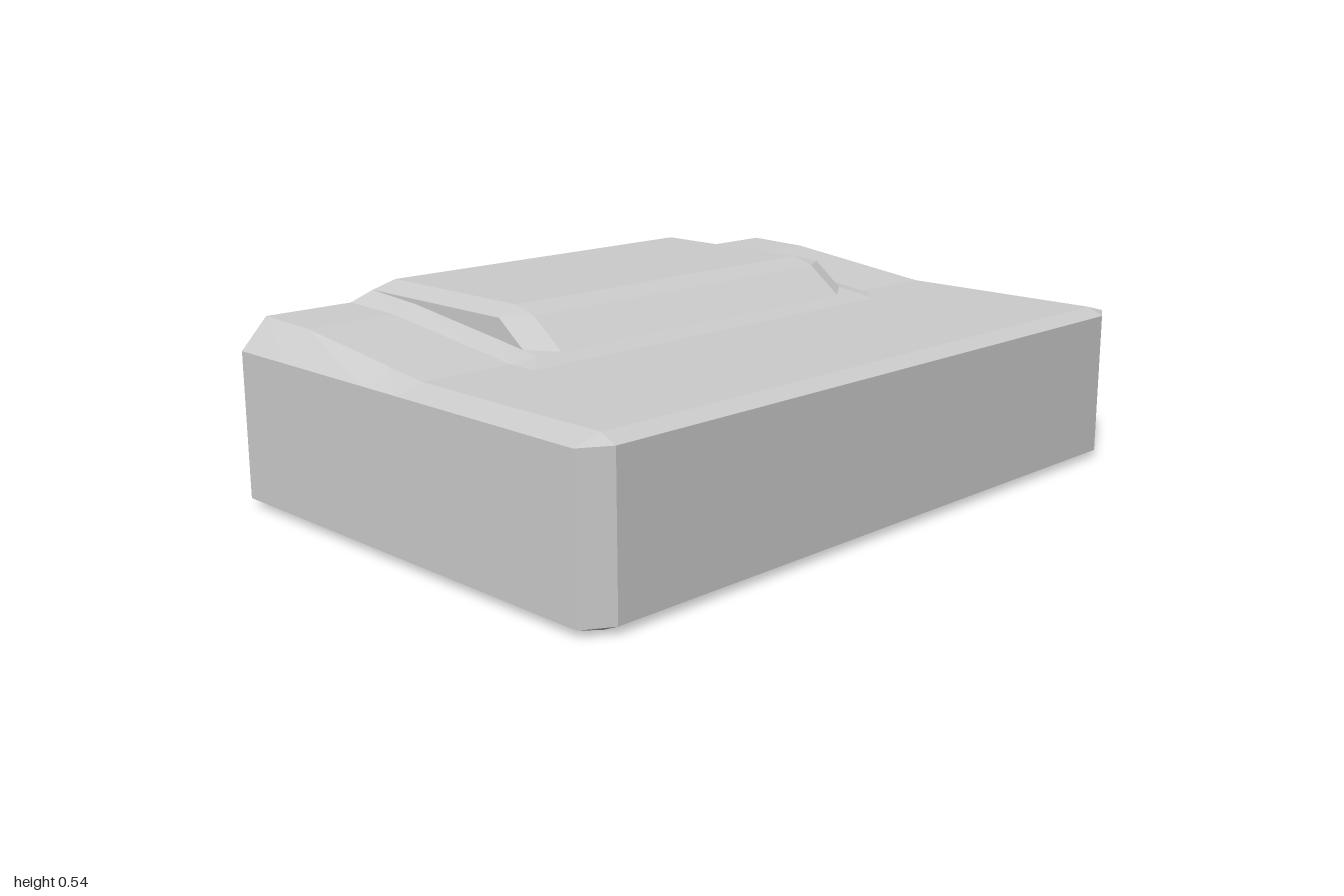
import * as THREE from 'three';

const material = new THREE.MeshStandardMaterial({ color: 0xcccccc, flatShading: true });

// Collects triangles, skipping any that have collapsed to a line
function makeBuilder() {
  const pos = [];
  const tri = (a, b, c) => {
    const [p, q, r] = [a, b, c].map((v) => new THREE.Vector3(...v));
    if (q.sub(p).cross(r.sub(p)).length() > 1e-8) pos.push(...a, ...b, ...c);
  };
  const quad = (a, b, c, d) => { tri(a, b, c); tri(a, c, d); };
  const mesh = (name) => {
    const geo = new THREE.BufferGeometry();
    geo.setAttribute('position', new THREE.Float32BufferAttribute(pos, 3));
    geo.computeVertexNormals();
    const m = new THREE.Mesh(geo, material);
    m.name = name;
    return m;
  };
  return { tri, quad, mesh };
}

// Rectangle with cut corners, counter-clockwise from above
function ring(y, hx, zFront, zBack, cx, cz) {
  return [
    [hx, y, zFront - cz], [hx, y, zBack + cz], [hx - cx, y, zBack], [cx - hx, y, zBack],
    [-hx, y, zBack + cz], [-hx, y, zFront - cz], [cx - hx, y, zFront], [hx - cx, y, zFront],
  ];
}

// Skin between rings, with optional end caps
function loft(name, rings, capBottom, capTop) {
  const b = makeBuilder();
  for (let k = 0; k < rings.length - 1; k++) {
    const lo = rings[k], hi = rings[k + 1];
    lo.forEach((p, i) => {
      const j = (i + 1) % lo.length;
      b.quad(p, lo[j], hi[j], hi[i]);
    });
  }
  const first = rings[0], last = rings[rings.length - 1];
  for (let i = 1; i < first.length - 1; i++) {
    if (capBottom) b.tri(first[0], first[i + 1], first[i]);
    if (capTop) b.tri(last[0], last[i], last[i + 1]);
  }
  return b.mesh(name);
}

const RIM = 0.41;

// Top deck: level at the front, ramping up to the rear, flared around the panel
function makeDeck() {
  const half = [0.525, 0.6, 0.67, 0.925, 1];
  const xs = [...half.map((x) => -x).reverse(), ...half];
  // z, deck height, height at the foot of the panel
  const rows = [
    [0.68, RIM, RIM], [0.635, 0.43, 0.43], [0.12, 0.43, 0.43], [0.05, 0.43, 0.44],
    [0.03, 0.43, 0.443], [-0.1, 0.445, 0.46], [-0.44, 0.485, 0.502],
    [-0.635, 0.49, 0.515], [-0.68, RIM, 0.515],
  ];
  const grid = rows.map(([z, deck, foot]) => xs.map((x) => {
    const ax = Math.abs(x), az = Math.abs(z);
    if (ax === 1 && az === 0.68) return [Math.sign(x) * 0.9625, RIM, Math.sign(z) * 0.6575]; // cut corner
    if (ax === 1) return [x, RIM, z];
    if (ax === 0.6 && z === -0.68) return [x, 0.43, z];
    return [x, ax >= 0.67 ? deck : foot, z];
  }));
  const b = makeBuilder();
  for (let j = 0; j < rows.length - 1; j++) {
    for (let i = 0; i < xs.length - 1; i++) {
      b.quad(grid[j][i], grid[j][i + 1], grid[j + 1][i + 1], grid[j + 1][i]);
    }
  }
  // Back wall rising behind the panel
  const back = grid[rows.length - 1];
  const down = (p) => [p[0], RIM, p[2]];
  for (let i = 0; i < xs.length - 1; i++) {
    b.quad(down(back[i + 1]), down(back[i]), back[i], back[i + 1]);
  }
  return b.mesh('deck');
}

export function createModel() {
  const group = new THREE.Group();
  group.name = 'chamferedBlock';

  // Lower block with bevelled base and cut vertical corners
  group.add(loft('body', [
    ring(0, 0.925, 0.635, -0.635, 0, 0),
    ring(0.02, 1, 0.68, -0.68, 0.075, 0.045),
    ring(RIM, 1, 0.68, -0.68, 0.075, 0.045),
  ], true, false));

  group.add(makeDeck());

  // Raised panel with sloping front and bevelled top
  group.add(loft('raisedPanel', [
    ring(RIM, 0.6, 0.09, -0.68, 0.075, 0.045),
    ring(0.515, 0.6, -0.05, -0.68, 0.075, 0.045),
    ring(0.535, 0.525, -0.12, -0.635, 0, 0),
  ], false, true));

  return group;
}
